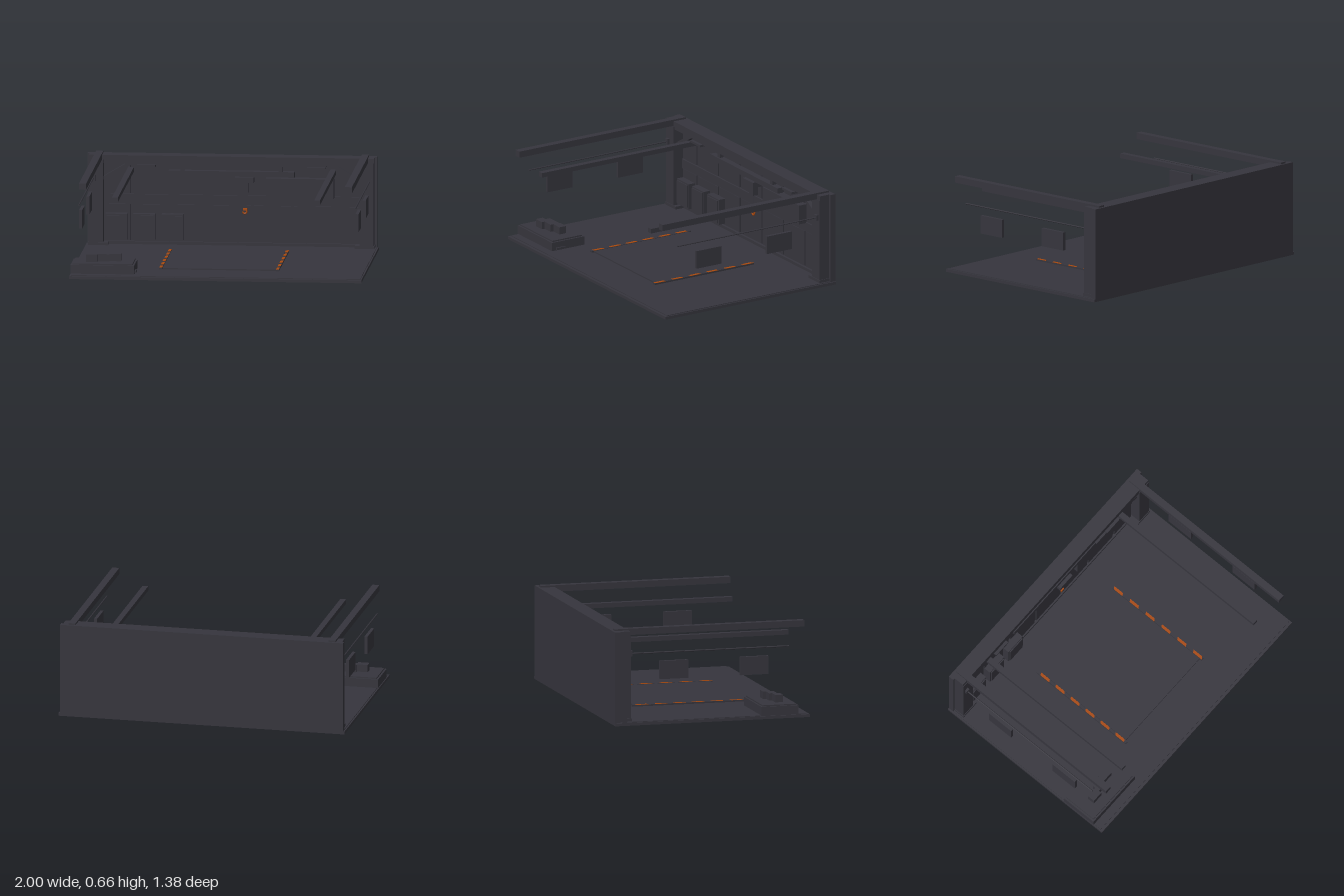
import * as THREE from 'three';

export function createModel() {
  const root = new THREE.Group();
  root.name = 'workshopBay';
  const dark = new THREE.MeshStandardMaterial({ color: 0x36353d });
  dark.name = 'charcoal';
  const orange = new THREE.MeshStandardMaterial({ color: 0xa84a10 });
  orange.name = 'safety orange';

  const add = (name, geometry, material = dark) => {
    const mesh = new THREE.Mesh(geometry, material);
    mesh.name = name;
    root.add(mesh);
    return mesh;
  };
  // Box given by its limits on each axis
  const box = (name, x0, x1, y0, y1, z0, z1, material) => {
    const mesh = add(name, new THREE.BoxGeometry(x1 - x0, y1 - y0, z1 - z0), material);
    mesh.position.set((x0 + x1) / 2, (y0 + y1) / 2, (z0 + z1) / 2);
    return mesh;
  };
  // The same box on both sides of the model
  const pair = (name, x0, x1, ...rest) => {
    box(name + 'Left', x0, x1, ...rest);
    box(name + 'Right', -x1, -x0, ...rest);
  };

  // Floor and back wall
  box('floor', -1, 1, 0, 0.02, -0.69, 0.69);
  box('floorPlate', -0.99, 0.99, 0.02, 0.025, -0.65, 0.67);
  box('backWall', -0.99, 0.99, 0.02, 0.648, -0.69, -0.65);
  box('headerBeam', -0.975, 0.975, 0.592, 0.648, -0.65, -0.577);

  // Wall panels in two rows, separated by narrow seams
  const seams = [-0.875, -0.685, -0.412, -0.138, 0.138, 0.412, 0.685, 0.875];
  for (let i = 0; i < seams.length - 1; i++) {
    const a = seams[i] + 0.01, b = seams[i + 1] - 0.01;
    box('lowerWallPanel', a, b, 0.05, 0.3, -0.65, -0.64);
    box('upperWallPanel', a, b, 0.375, 0.585, -0.65, -0.64);
  }
  box('wallRail', -0.875, 0.875, 0.305, 0.37, -0.65, -0.636);
  box('skirting', -0.875, 0.875, 0.025, 0.045, -0.65, -0.63);

  // Corner columns, feet and diagonal braces
  pair('column', 0.877, 0.975, 0.025, 0.615, -0.65, -0.572);
  pair('columnFoot', 0.845, 0.98, 0.025, 0.045, -0.65, -0.567);
  for (const s of [-1, 1]) {
    const brace = add('brace', new THREE.BoxGeometry(0.23, 0.026, 0.03));
    brace.position.set(s * 0.78, 0.54, -0.61);
    brace.rotation.z = -s * 0.54;
  }

  // Long overhead rails, lower rails and thin side rods
  pair('overheadRail', 0.885, 0.934, 0.616, 0.66, -0.675, 0.67);
  pair('lowerRail', 0.672, 0.712, 0.526, 0.558, -0.64, 0.623);
  pair('rodBracket', 0.93, 0.96, 0.47, 0.51, -0.575, -0.556);
  for (const s of [-1, 1]) {
    const rod = add('sideRod', new THREE.CylinderGeometry(0.005, 0.005, 1.13, 8));
    rod.rotation.x = Math.PI / 2;
    rod.position.set(s * 0.945, 0.489, -0.007);
  }

  // Hanging side panels
  for (const z of [-0.26, 0.31]) pair('sidePanel', 0.935, 0.957, 0.304, 0.43, z - 0.1, z + 0.1);

  // Lamps under the header
  box('lampTrack', -0.65, 0.65, 0.582, 0.592, -0.62, -0.58);
  pair('lamp', 0.52, 0.645, 0.57, 0.585, -0.61, -0.557);

  // Hoist on a bridge beam
  box('bridgeBeam', -0.43, 0.43, 0.508, 0.546, -0.625, -0.58);
  box('bridgeHanger', -0.35, -0.32, 0.546, 0.592, -0.62, -0.59);
  box('bridgeHanger', 0.32, 0.35, 0.546, 0.592, -0.62, -0.59);
  box('hoistTrolley', 0.025, 0.155, 0.472, 0.51, -0.63, -0.556);
  box('hoistDrum', 0.065, 0.115, 0.4, 0.472, -0.62, -0.58);
  const cable = add('cable', new THREE.CylinderGeometry(0.003, 0.003, 0.12, 6));
  cable.position.set(0.09, 0.345, -0.6);
  const hook = add('hook', new THREE.TorusGeometry(0.013, 0.006, 6, 12, Math.PI * 1.5), orange);
  hook.position.set(0.09, 0.266, -0.6);
  hook.rotation.z = Math.PI;
  box('hookBlock', 0.078, 0.106, 0.274, 0.29, -0.61, -0.59, orange);

  // Wall cabinet and lockers
  box('wallCabinet', 0.235, 0.7, 0.365, 0.5, -0.65, -0.582);
  for (const x of [-0.79, -0.6, -0.405]) {
    box('locker', x - 0.075, x + 0.075, 0.06, 0.24, -0.65, -0.59);
    box('lockerDoor', x - 0.065, x + 0.065, 0.07, 0.23, -0.59, -0.582);
  }

  // Low bench with stepped blocks
  box('bench', -0.998, -0.562, 0.025, 0.085, 0.348, 0.612);
  box('benchTop', -0.985, -0.575, 0.085, 0.094, 0.36, 0.6);
  box('benchHandle', -0.562, -0.552, 0.03, 0.045, 0.505, 0.58);
  for (let i = 0; i < 3; i++) {
    const x = -0.897 + i * 0.078, z = 0.475 - i * 0.021;
    box('benchBlock', x, x + 0.078, 0.094, 0.145, z, z + 0.055);
  }

  // Floor pad with slanted warning dashes along both sides
  box('floorPad', -0.388, 0.388, 0.025, 0.034, -0.385, 0.383);
  pair('warningStrip', 0.39, 0.41, 0.025, 0.036, -0.4, 0.4);
  const dash = new THREE.Shape([[-0.01, -0.045], [0.01, -0.033], [0.01, 0.045], [-0.01, 0.033]]
    .map(([x, y]) => new THREE.Vector2(x, y)));
  const dashGeometry = new THREE.ExtrudeGeometry(dash, { depth: 0.002, bevelEnabled: false });
  dashGeometry.rotateX(-Math.PI / 2);
  for (let i = 0; i < 6; i++) {
    add('warningDash', dashGeometry, orange).position.set(-0.4, 0.036, -0.33 + i * 0.134);
    add('warningDash', dashGeometry, orange).position.set(0.4, 0.036, -0.355 + i * 0.142);
  }

  return root;
}
